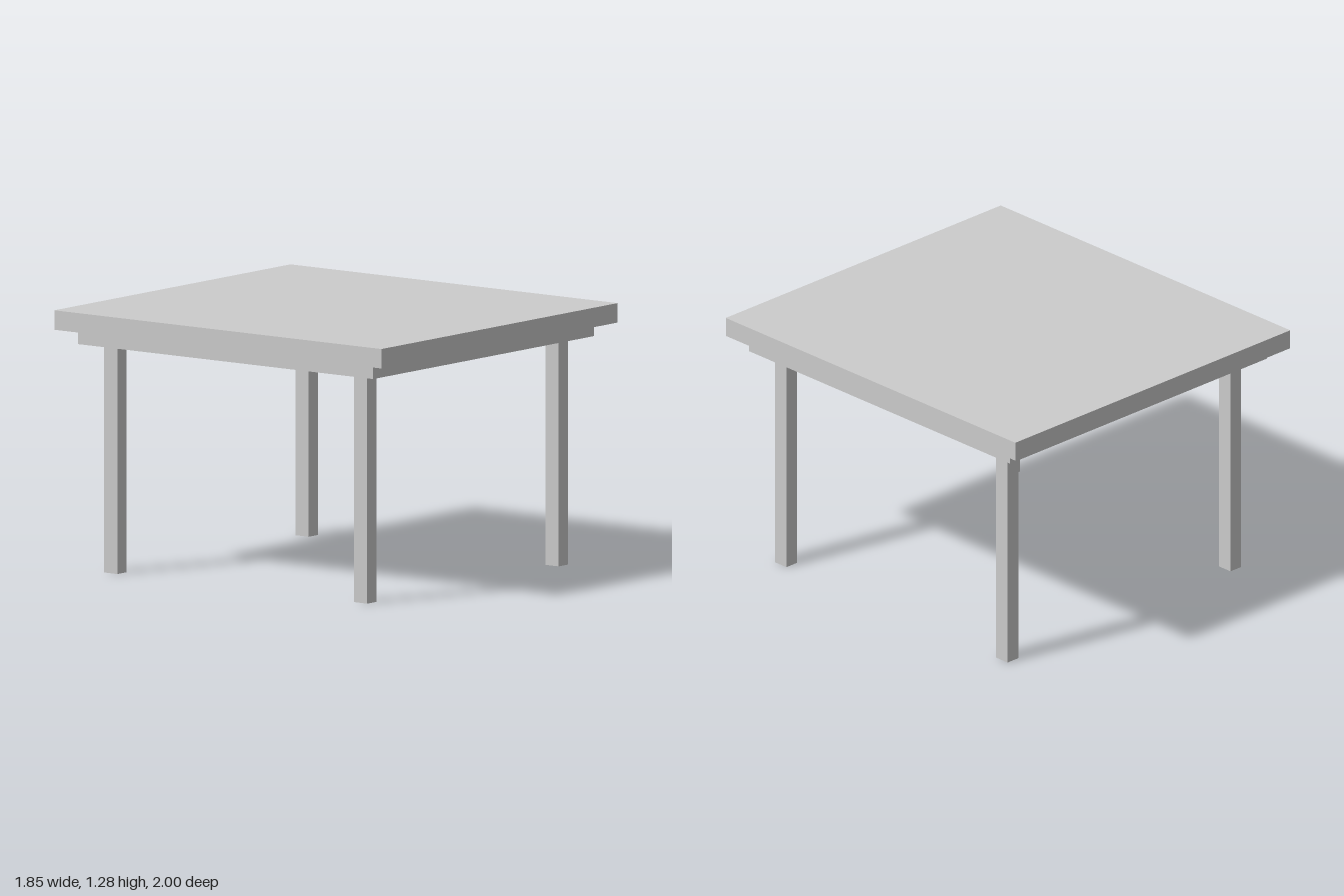
import * as THREE from 'three';

const material = new THREE.MeshStandardMaterial({ color: 0xcccccc, flatShading: true });

// Box standing on height y, centred on x and z
function box(name, width, height, depth, x, y, z) {
  const mesh = new THREE.Mesh(new THREE.BoxGeometry(width, height, depth), material);
  mesh.name = name;
  mesh.position.set(x, y + height / 2, z);
  return mesh;
}

export function createModel() {
  const table = new THREE.Group();
  table.name = 'table';

  // Top board and the smaller slab beneath it
  table.add(box('tableTop', 1.85, 0.095, 2, 0, 1.182, 0));
  table.add(box('underSlab', 1.73, 0.068, 1.804, 0, 1.114, 0));

  // Four square legs
  for (const [side, sx] of [['Left', 1], ['Right', -1]]) {
    for (const [end, sz] of [['front', 1], ['back', -1]]) {
      table.add(box(`${end}${side}Leg`, 0.072, 1.114, 0.08, sx * 0.75, 0, sz * 0.764));
    }
  }
  return table;
}
